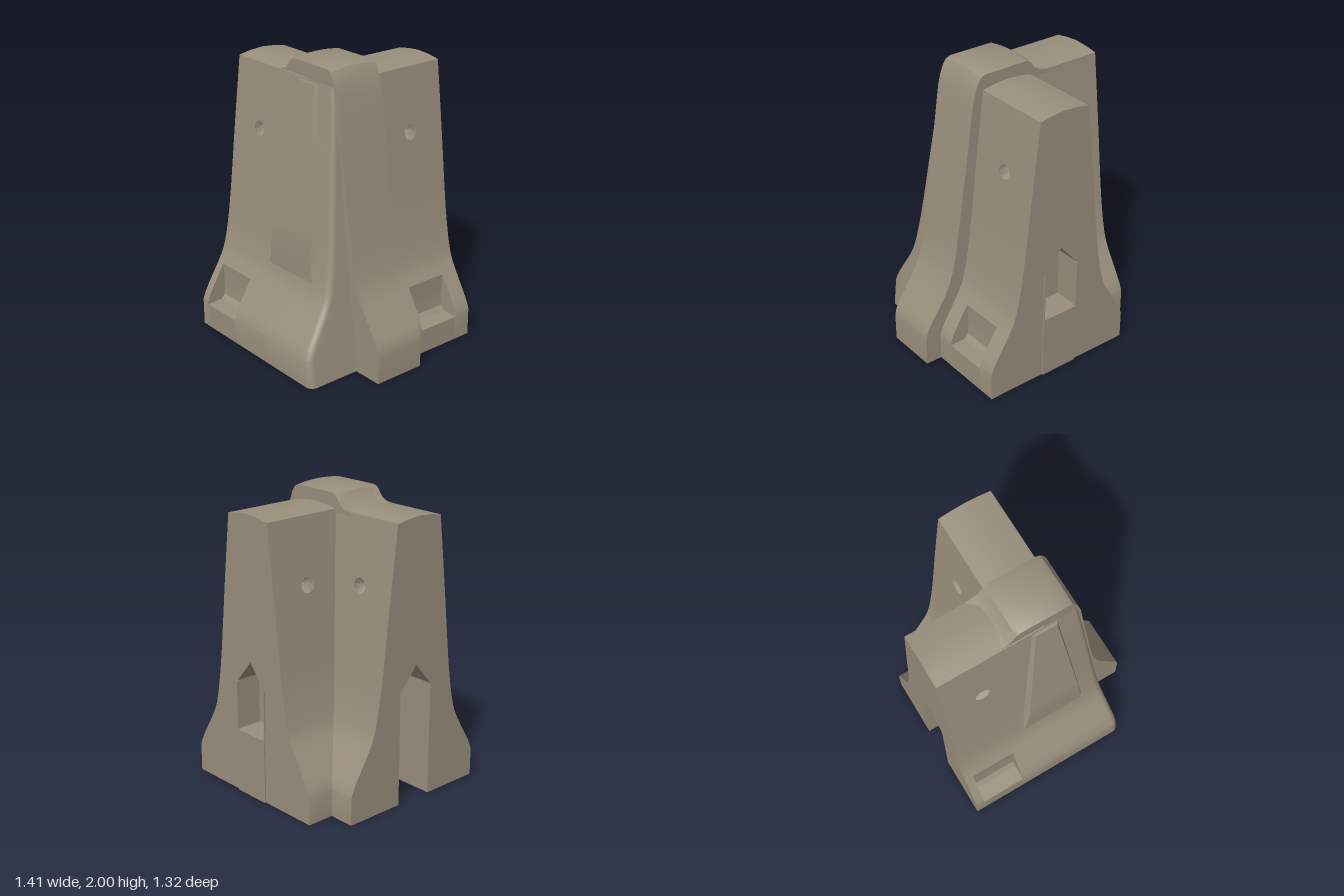
import * as THREE from 'three';
import { mergeGeometries, toCreasedNormals } from 'three/addons/utils/BufferGeometryUtils.js';

const TOP = 1.885, HOLE_Y = 1.45, HOLE_R = 0.05;
const v2 = (x, y) => new THREE.Vector2(x, y);

// Flared half profile of a wall: half width, height
const flare = [v2(0.56, 0), ...new THREE.SplineCurve([
  v2(0.56, 0.19), v2(0.525, 0.27), v2(0.4, 0.48), v2(0.355, 0.6), v2(0.32, 0.78),
  v2(0.29, 1.0), v2(0.245, 1.4), v2(0.187, TOP),
]).getPoints(35)];

function lerpTable(table, y) {
  for (let i = 1; i < table.length; i++) {
    const a = table[i - 1], b = table[i];
    if (y <= b.y) return a.x + (b.x - a.x) * (y - a.y) / (b.y - a.y);
  }
  return table[table.length - 1].x;
}
const halfWidth = (y) => lerpTable(flare, y);

// One side of the profile, with an optional pocket and a conical dimple of half height h
function sidePoints(pocket, h) {
  let pts = flare.slice();
  if (pocket) {
    pts = [pts[0], v2(0.56, 0.17), v2(0.45, 0.175), v2(0.422, 0.21), v2(0.415, 0.3),
      v2(halfWidth(0.44), 0.44), ...pts.filter((p) => p.y > 0.45)];
  }
  if (h > 0.005) {
    const lo = HOLE_Y - h, hi = HOLE_Y + h;
    pts = [...pts.filter((p) => p.y < lo), v2(halfWidth(lo), lo),
      v2(halfWidth(HOLE_Y) - 0.09 * h / HOLE_R, HOLE_Y),
      v2(halfWidth(hi), hi), ...pts.filter((p) => p.y > hi)];
  }
  return pts;
}

// A wall extruded in slices, so pockets, dimples and end slots are real recesses
function wallGeometry({ start, end, pocket, pocketSide, hole, slotEnd, slotFloor }) {
  const cuts = [start, end, ...pocket, slotEnd];
  for (let i = 0; i <= 12; i++) cuts.push(hole - HOLE_R * Math.cos(Math.PI * i / 12));
  cuts.sort((a, b) => a - b);
  const slices = [];
  for (let i = 1; i < cuts.length; i++) {
    const t0 = cuts[i - 1], t1 = cuts[i], mid = (t0 + t1) / 2;
    if (t1 - t0 < 1e-4) continue;
    const h = Math.sqrt(Math.max(0, HOLE_R ** 2 - (mid - hole) ** 2));
    const inPocket = mid > pocket[0] && mid < pocket[1];
    const right = sidePoints(inPocket && pocketSide > 0, h);
    const left = sidePoints(inPocket && pocketSide < 0, h).map((p) => v2(-p.x, p.y)).reverse();
    const outline = [...right, v2(0.1, 1.9), v2(0, 1.908), v2(-0.1, 1.9), ...left];
    const slot = [v2(-0.137, slotFloor), v2(-0.137, 0.78), v2(0, 0.94), v2(0.137, 0.78), v2(0.137, slotFloor)];
    const inSlot = mid < slotEnd;
    if (inSlot && slotFloor === 0) outline.push(...slot);
    const shape = new THREE.Shape(outline);
    if (inSlot && slotFloor > 0) shape.holes.push(new THREE.Path(slot));
    const g = new THREE.ExtrudeGeometry(shape, { depth: t1 - t0, bevelEnabled: false });
    g.translate(0, 0, t0);
    slices.push(g);
  }
  return toCreasedNormals(mergeGeometries(slices), 0.5);
}

// Skin over rows of [x, y, z] points, running upwards, columns left to right
function loft(rows) {
  const n = rows[0].length, index = [];
  for (let i = 0; i < rows.length - 1; i++) {
    for (let j = 0; j < n - 1; j++) {
      const a = i * n + j, d = a + n;
      index.push(a, a + 1, d + 1, a, d + 1, d);
    }
  }
  const g = new THREE.BufferGeometry();
  g.setAttribute('position', new THREE.Float32BufferAttribute(rows.flat(2), 3));
  g.setIndex(index);
  return toCreasedNormals(g, 0.5);
}

export function createModel() {
  const group = new THREE.Group();
  const concrete = new THREE.MeshStandardMaterial({ color: 0x9a8f7c });
  concrete.name = 'concrete';
  const add = (name, geometry) => {
    const mesh = new THREE.Mesh(geometry, concrete);
    mesh.name = name;
    group.add(mesh);
    return mesh;
  };

  // Wall running sideways, with an open groove in its end
  const sideWall = add('sideWall', wallGeometry({
    start: -0.71, end: 0.03, pocket: [-0.65, -0.33], pocketSide: -1, hole: -0.435, slotEnd: -0.4, slotFloor: 0,
  }));
  sideWall.rotation.y = Math.PI / 2;
  sideWall.position.z = 0.1;

  // Wall running backwards, with a niche above a solid tongue in its end
  add('rearWall', wallGeometry({
    start: -0.65, end: 0.1, pocket: [-0.525, -0.21], pocketSide: 1, hole: -0.37, slotEnd: -0.47, slotFloor: 0.44,
  })).position.x = 0.03;

  // Tongue standing slightly proud of the rear end, with thin cheeks
  const tongue = new THREE.BoxGeometry(0.274, 0.44, 0.03);
  add('tongue', tongue).position.set(0.033, 0.22, -0.645);
  for (const s of [-1, 1]) {
    add('tongueCheek', new THREE.BoxGeometry(0.008, 0.36, 0.02)).position.set(0.03 + s * 0.135, 0.6, -0.65);
  }

  // Corner rib rising above both walls, its top crowned
  const ribOutline = [[-0.3, 0], [0.705, 0], [0.705, 0.19], [0.695, 0.24], [0.67, 0.29], [0.545, 0.48], [0.505, 0.56],
    [0.475, 0.65], [0.45, 0.76], [0.42, 0.95], [0.36, 1.35], [0.295, 1.8], [0.275, 1.88], [0.255, 1.94],
    [0.23, 1.985], [0.2, 2], [-0.13, 2], [-0.16, 1.985], [-0.205, 1.915], [-0.235, 1.895], [-0.3, 1.885]];
  const rib = new THREE.ExtrudeGeometry(new THREE.Shape(ribOutline.map((p) => v2(...p))),
    { depth: 0.37, steps: 10, bevelEnabled: false });
  rib.translate(0, 0, -0.09);
  const pos = rib.attributes.position;
  for (let i = 0; i < pos.count; i++) {
    const y = pos.getY(i), t = (pos.getZ(i) - 0.095) / 0.185;
    if (y > 1.9) pos.setY(i, y - 0.016 * t * t * Math.min(1, (y - 1.9) / 0.08));
  }
  add('cornerRib', toCreasedNormals(rib, 0.5));

  // Front flare carried past the corner, tapering upwards with a rounded edge
  const shoulderRows = flare.map(({ x: w, y }) => {
    const z = 0.1 + w, xr = 0.49 - 0.22 * y / TOP, r = 0.05 - 0.02 * y / TOP;
    const row = [[0, y, z]];
    for (let k = 0; k <= 6; k++) {
      const a = Math.PI / 2 * k / 6;
      row.push([xr - r + r * Math.sin(a), y, z - r + r * Math.cos(a)]);
    }
    row.push([xr, y, 0.15]);
    return row;
  });
  shoulderRows.unshift(shoulderRows[0].map(() => [0, 0, 0.1]));
  add('frontShoulder', loft(shoulderRows));

  // Tapered panel standing out from the front face
  const panelFace = [v2(0.455, 0.58), v2(0.458, 0.75), v2(0.452, 0.9), v2(0.31, 1.87)];
  const panelRows = [];
  for (let i = 0; i <= 16; i++) {
    const y = 0.58 + 1.29 * i / 16, a = 0.245 - 0.15 * i / 16;
    const z = lerpTable(panelFace, y), base = 0.1 + halfWidth(y) - 0.01;
    panelRows.push([[0.033 - a, y, base], [0.033 - a + 0.02, y, z], [0.033 + a - 0.02, y, z], [0.033 + a, y, base]]);
  }
  panelRows.push(panelRows[0].map(() => [0.033, 1.87, 0.26]));
  add('frontPanel', loft(panelRows));

  return group;
}
